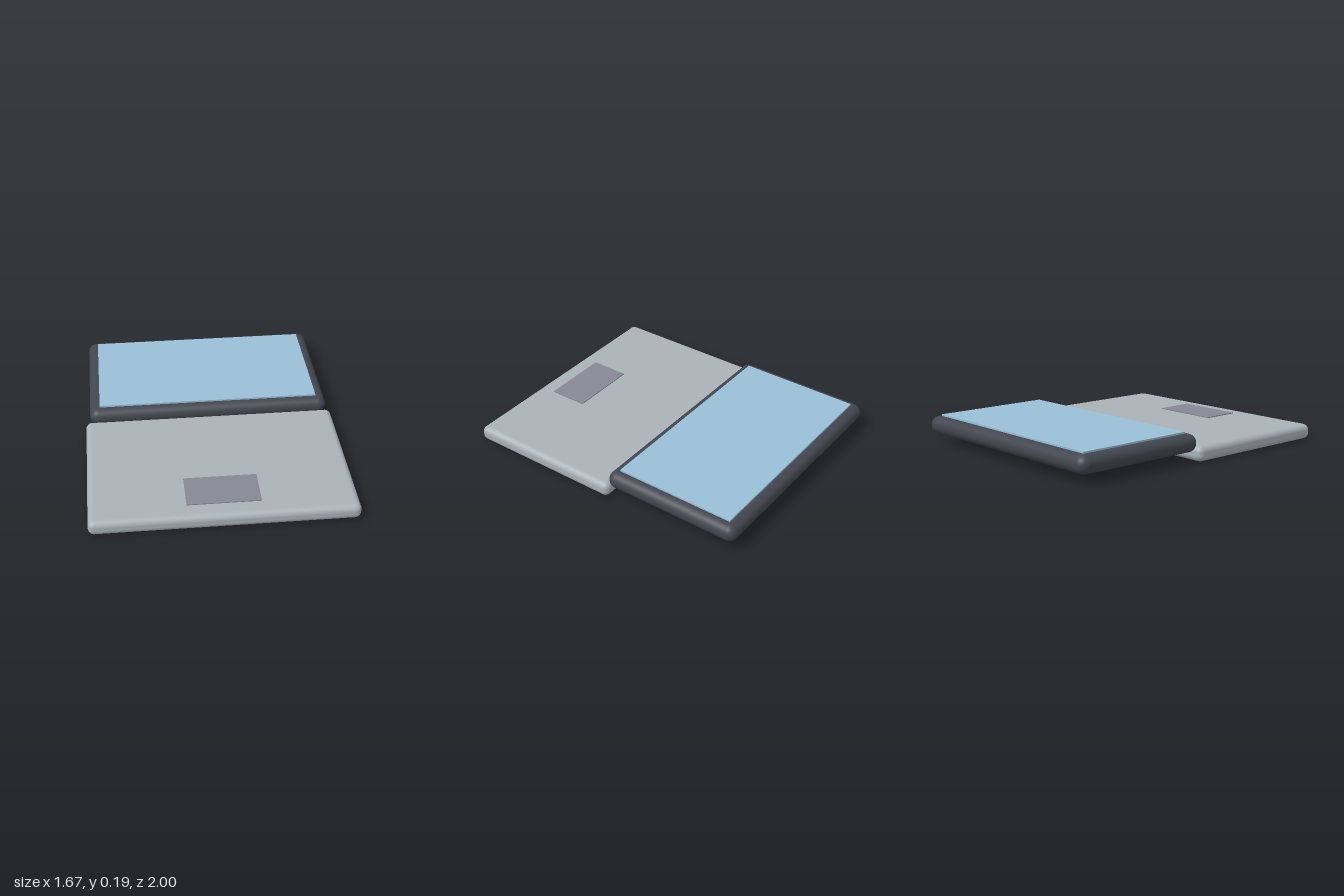
import * as THREE from 'three';
import { RoundedBoxGeometry } from 'three/addons/geometries/RoundedBoxGeometry.js';

// Adds a box, rounded when radius > 0, spanning +-halfWidth in x and the given y and z ranges
function addSlab(group, name, color, halfWidth, [y0, y1], [z0, z1], radius = 0) {
  const size = [halfWidth * 2, y1 - y0, z1 - z0];
  const geometry = radius > 0
    ? new RoundedBoxGeometry(...size, 6, radius)
    : new THREE.BoxGeometry(...size);
  const mesh = new THREE.Mesh(geometry, new THREE.MeshStandardMaterial({ color }));
  mesh.name = name;
  mesh.position.set(0, (y0 + y1) / 2, (z0 + z1) / 2);
  group.add(mesh);
}

export function createModel() {
  const laptop = new THREE.Group();
  laptop.name = 'openLaptop';

  // Lower half: body and touchpad
  const base = new THREE.Group();
  base.name = 'base';
  addSlab(base, 'baseBody', 0xa9b2b8, 0.836, [0, 0.1], [-0.08, 1], 0.04);
  addSlab(base, 'touchpad', 0x858994, 0.232, [0.09, 0.106], [0.62, 0.88]);

  // Upper half, folded flat: lid and raised screen
  const lid = new THREE.Group();
  lid.name = 'lid';
  addSlab(lid, 'lidBody', 0x43464f, 0.807, [0.06, 0.178], [-1, -0.052], 0.058);
  addSlab(lid, 'screen', 0x98bfd6, 0.739, [0.165, 0.189], [-0.935, -0.117]);

  laptop.add(base, lid);
  return laptop;
}
